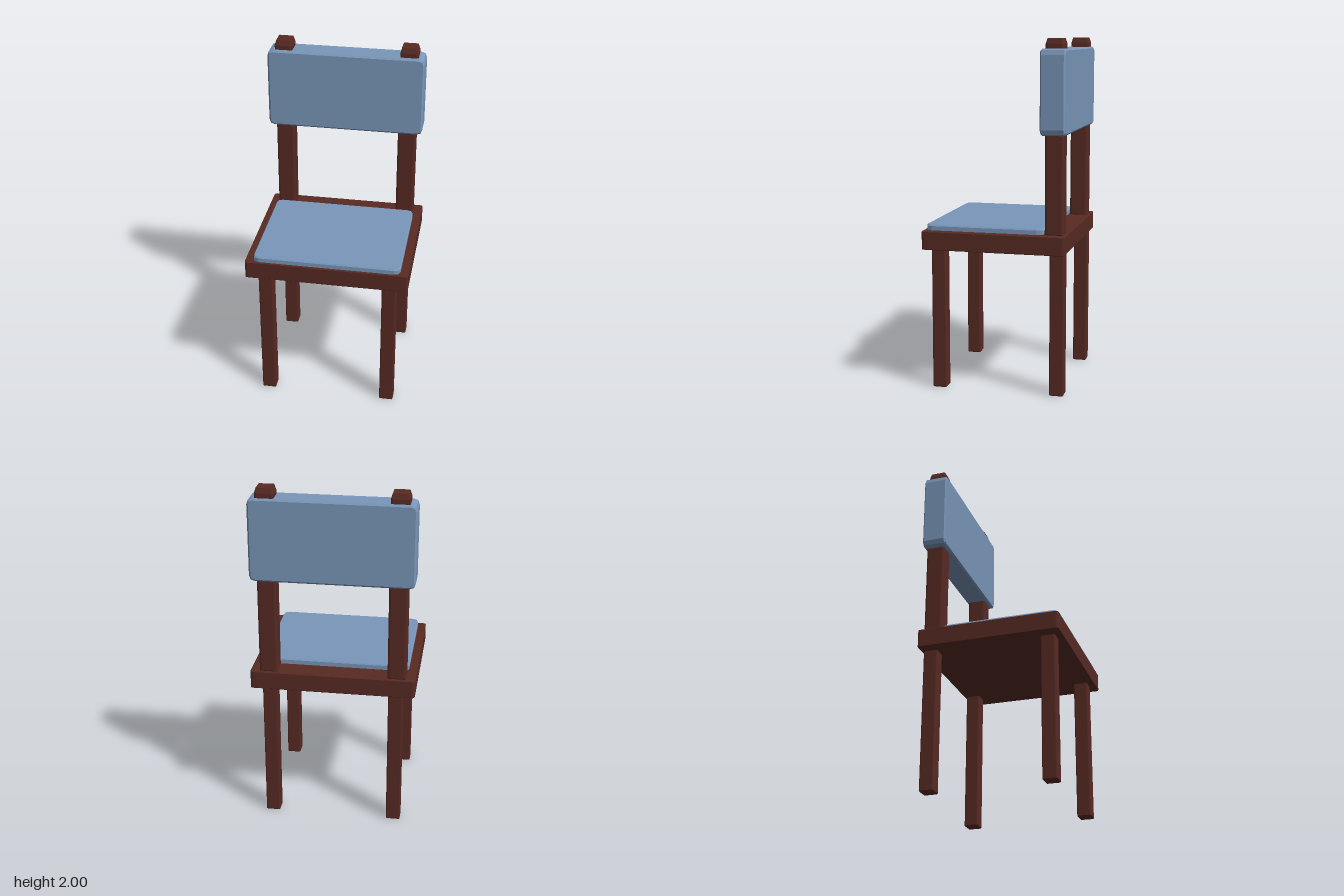
import * as THREE from 'three';

const wood = new THREE.MeshStandardMaterial({ color: 0x582a23, flatShading: true });
const fabric = new THREE.MeshStandardMaterial({ color: 0x7a97ba, flatShading: true });

// Block w x h in outline, d deep along z and centred, with rounded outline corners (r)
// and a single bevel at both ends, inset by bevelSize over bevelDepth.
function bevelBlock(w, h, d, r, bevelSize, bevelDepth) {
  const x = w / 2 - bevelSize, y = h / 2 - bevelSize;
  const s = new THREE.Shape();
  s.moveTo(-x + r, -y);
  s.lineTo(x - r, -y);
  s.quadraticCurveTo(x, -y, x, -y + r);
  s.lineTo(x, y - r);
  s.quadraticCurveTo(x, y, x - r, y);
  s.lineTo(-x + r, y);
  s.quadraticCurveTo(-x, y, -x, y - r);
  s.lineTo(-x, -y + r);
  s.quadraticCurveTo(-x, -y, -x + r, -y);
  const geometry = new THREE.ExtrudeGeometry(s, {
    depth: d - 2 * bevelDepth, curveSegments: 2,
    bevelEnabled: true, bevelSegments: 1, bevelSize, bevelThickness: bevelDepth,
  });
  return geometry.translate(0, 0, bevelDepth - d / 2);
}

// The same block with its bevelled ends facing up and down
const upright = (w, h, d, r, size, depth) =>
  bevelBlock(w, d, h, r, size, depth).rotateX(-Math.PI / 2);

export function createModel() {
  const chair = new THREE.Group();
  chair.name = 'chair';

  const add = (name, geometry, material, x, y, z) => {
    const mesh = new THREE.Mesh(geometry, material);
    mesh.name = name;
    mesh.position.set(x, y, z);
    chair.add(mesh);
  };

  // Seat board and cushion
  add('seat', upright(0.94, 0.105, 0.82, 0.012, 0.003, 0.003), wood, 0, 0.873, 0.002);
  add('seatCushion', upright(0.848, 0.05, 0.68, 0.03, 0.006, 0.008), fabric, 0, 0.933, 0.06);

  // Backrest pad
  add('backrest', bevelBlock(0.914, 0.47, 0.14, 0.025, 0.01, 0.008), fabric, 0, 1.71, -0.335);

  // Legs and back posts, mirrored left and right
  const leg = upright(0.082, 0.83, 0.081, 0.003, 0.004, 0.005);
  const post = upright(0.105, 1.1, 0.104, 0.003, 0.01, 0.03);
  for (const [side, sx] of [['left', 1], ['right', -1]]) {
    add(`${side}FrontLeg`, leg, wood, sx * 0.36, 0.415, 0.332);
    add(`${side}BackLeg`, leg, wood, sx * 0.36, 0.415, -0.354);
    add(`${side}BackPost`, post, wood, sx * 0.365, 1.45, -0.339);
  }
  return chair;
}
